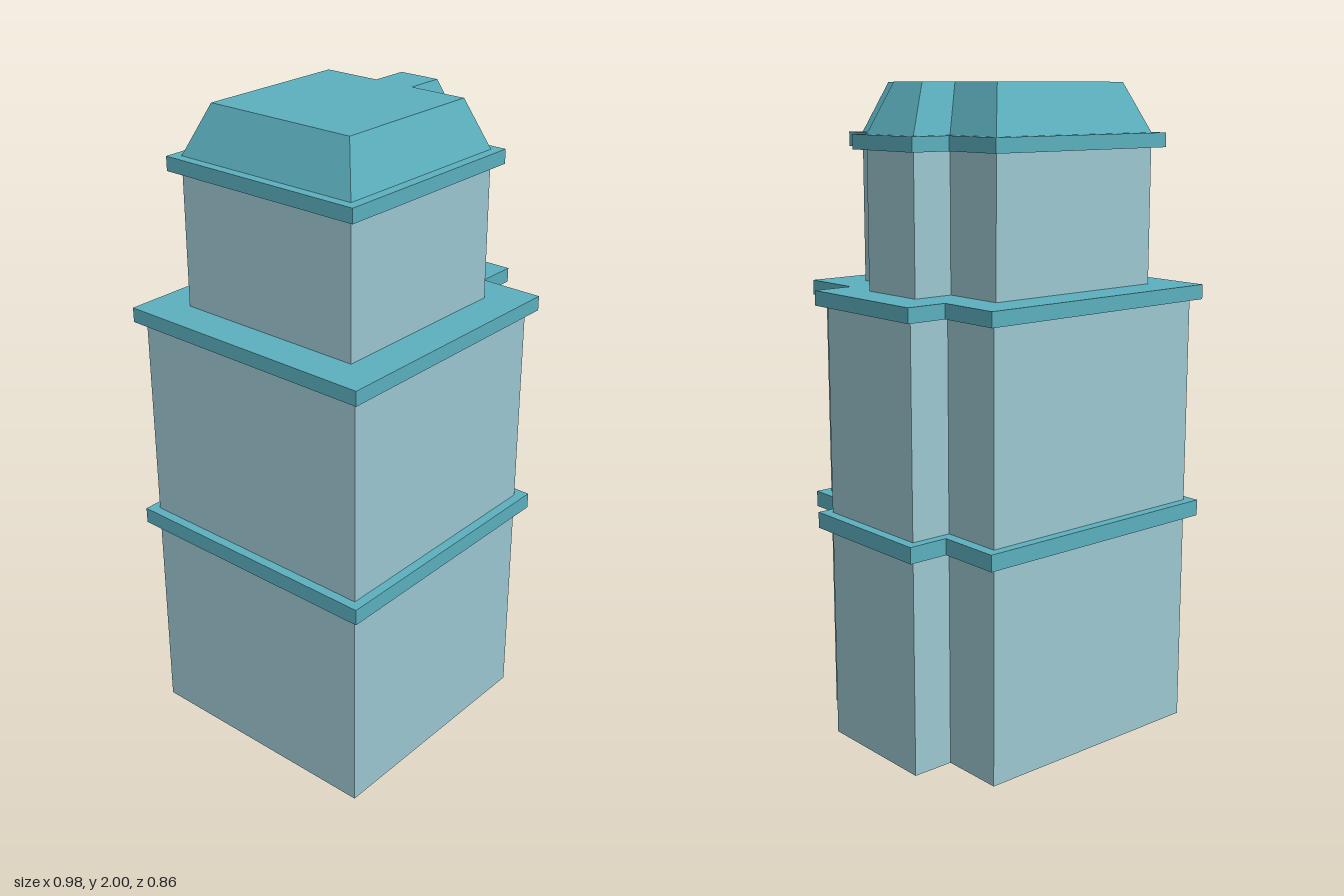
import * as THREE from 'three';

// Plan outline: main block (left..right, +-depth) with a bay on the +x side.
const plan = (left, right, bay, depth, bayDepth) => [
  [left, -depth], [right, -depth], [right, -bayDepth], [bay, -bayDepth],
  [bay, bayDepth], [right, bayDepth], [right, depth], [left, depth],
].map(([x, z]) => new THREE.Vector2(x, z));

// Upright prism over a plan; an optional second plan tapers the top.
function prism(outline, y0, y1, topOutline) {
  const geo = new THREE.ExtrudeGeometry(new THREE.Shape(outline), { depth: y1 - y0, bevelEnabled: false });
  if (topOutline) {
    const pos = geo.attributes.position;
    for (let i = 0; i < pos.count; i++) {
      if (pos.getZ(i) < (y1 - y0) / 2) continue;
      const k = outline.findIndex((p) => Math.hypot(p.x - pos.getX(i), p.y - pos.getY(i)) < 1e-4);
      pos.setXY(i, topOutline[k].x, topOutline[k].y);
    }
    geo.computeVertexNormals();
  }
  geo.rotateX(-Math.PI / 2);
  geo.translate(0, y0, 0);
  return geo;
}

export function createModel() {
  const group = new THREE.Group();
  const wall = new THREE.MeshStandardMaterial({ color: 0x9cc7d1 });
  wall.name = 'pale blue wall';
  const trim = new THREE.MeshStandardMaterial({ color: 0x5cb0bf });
  trim.name = 'teal trim';

  const lowerPlan = plan(-0.46, 0.325, 0.457, 0.4, 0.2);
  const ledgePlan = plan(-0.49, 0.36, 0.489, 0.43, 0.23);
  const midLedgePlan = plan(-0.487, 0.355, 0.484, 0.427, 0.226);
  const upperPlan = plan(-0.37, 0.24, 0.37, 0.31, 0.11);
  const corniceplan = plan(-0.4, 0.268, 0.398, 0.341, 0.141);
  const roofTopPlan = plan(-0.305, 0.185, 0.303, 0.25, 0.066);

  // Storeys, ledges and roof, bottom to top
  const parts = [
    ['lowerWalls', wall, lowerPlan, 0, 0.67],
    ['lowerLedge', trim, ledgePlan, 0.67, 0.72],
    ['middleWalls', wall, lowerPlan, 0.72, 1.355],
    ['middleLedge', trim, midLedgePlan, 1.355, 1.4],
    ['upperWalls', wall, upperPlan, 1.4, 1.81],
    ['cornice', trim, corniceplan, 1.81, 1.853],
    ['roof', trim, upperPlan, 1.853, 2, roofTopPlan],
  ];
  for (const [name, material, outline, y0, y1, top] of parts) {
    const mesh = new THREE.Mesh(prism(outline, y0, y1, top), material);
    mesh.name = name;
    group.add(mesh);
  }
  return group;
}
